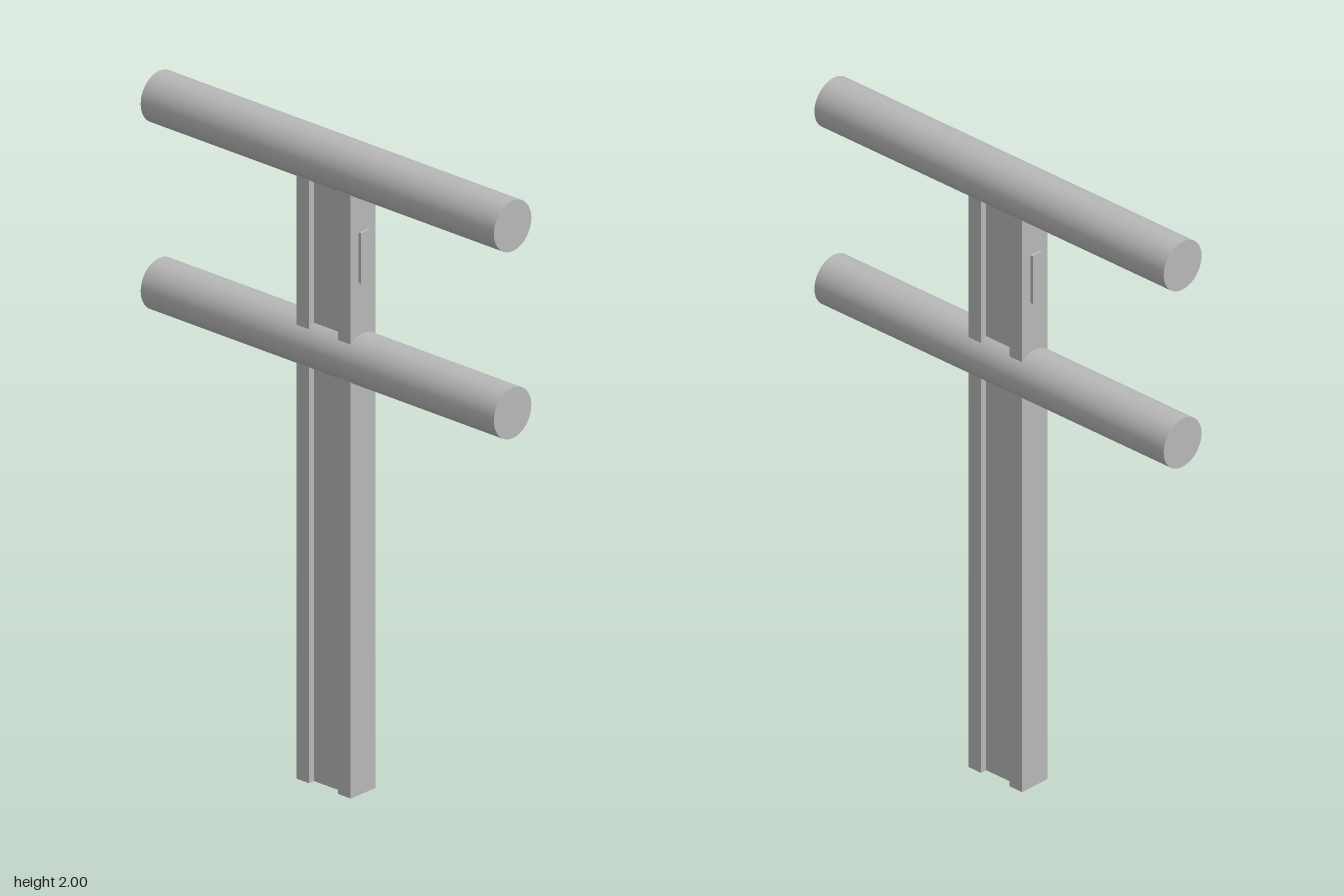
import * as THREE from 'three';

export function createModel() {
  const group = new THREE.Group();
  const grey = new THREE.MeshStandardMaterial({ color: 0xb8b8b8 });
  grey.name = 'grey';

  const add = (name, geometry, x, y, z) => {
    const mesh = new THREE.Mesh(geometry, grey);
    mesh.name = name;
    mesh.position.set(x, y, z);
    group.add(mesh);
  };

  // Post: H-shaped section with a shallow channel on each side, extruded upwards
  const w = 0.052, web = 0.031, d = 0.105, inner = 0.056, height = 1.92;
  const section = new THREE.Shape([
    [-w, -d], [w, -d], [w, -inner], [web, -inner], [web, inner], [w, inner],
    [w, d], [-w, d], [-w, inner], [-web, inner], [-web, -inner], [-w, -inner],
  ].map(([x, z]) => new THREE.Vector2(x, z)));
  const post = new THREE.ExtrudeGeometry(section, { depth: height, bevelEnabled: false });
  post.rotateX(-Math.PI / 2);
  add('post', post, 0, 0, 0);

  // Round crossbars running front to back
  const radius = 0.078;
  const bar = new THREE.CylinderGeometry(radius, radius, 1.365, 48);
  bar.rotateX(Math.PI / 2);
  add('upperCrossbar', bar, 0, 2 - radius, 0);
  add('lowerCrossbar', bar, 0, 1.344, 0);

  // Small raised plates on the front and back of the post
  const plate = new THREE.BoxGeometry(0.038, 0.156, 0.02);
  add('frontPlate', plate, 0, 1.66, 0.105);
  add('backPlate', plate, 0, 1.66, -0.105);

  return group;
}
